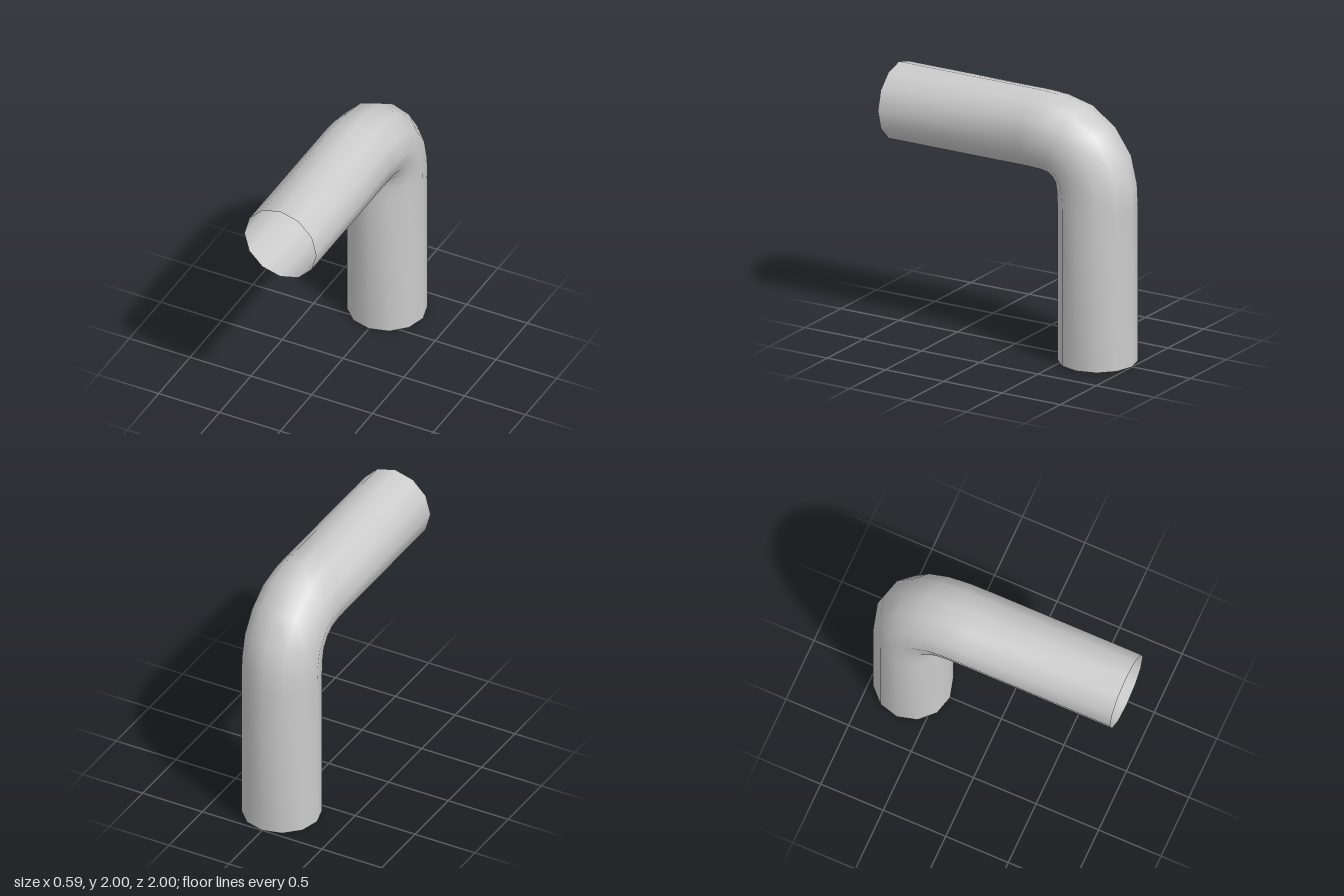
import * as THREE from 'three';

const RADIUS = 0.295;
const SIDES = 12;

export function createModel() {
  // First half of the pipe: centre z, centre y, tilt of the ring in degrees
  const half = [
    [1, 1.705, 0],
    [-0.2, 1.705, 0],
    [-0.335, 1.698, 5.8],
    [-0.47, 1.667, 23.5],
  ];
  // Second half mirrors the first across the diagonal of the elbow
  const mirrored = half.map(([z, y, tilt]) => [1 - y, 1 - z, 90 - tilt]).reverse();
  const rings = [...half, [-0.586, 1.586, 45], ...mirrored];

  // Sweep a twelve-sided ring along the path
  const positions = [];
  const indices = [];
  rings.forEach(([z, y, degrees], i) => {
    const tilt = THREE.MathUtils.degToRad(degrees);
    for (let k = 0; k < SIDES; k++) {
      const a = (k / SIDES) * Math.PI * 2;
      const out = RADIUS * Math.cos(a);
      positions.push(RADIUS * Math.sin(a), y + out * Math.cos(tilt), z - out * Math.sin(tilt));
      if (i === rings.length - 1) continue;
      const next = (k + 1) % SIDES;
      const p = i * SIDES + k, q = i * SIDES + next;
      indices.push(p, q, p + SIDES, q, q + SIDES, p + SIDES);
    }
  });

  const geometry = new THREE.BufferGeometry();
  geometry.setAttribute('position', new THREE.Float32BufferAttribute(positions, 3));
  geometry.setIndex(indices);
  geometry.computeVertexNormals();

  // Open-ended thin pipe, visible inside and out
  const pipe = new THREE.Mesh(
    geometry,
    new THREE.MeshStandardMaterial({ color: 0xcccccc, side: THREE.DoubleSide })
  );
  pipe.name = 'elbowPipe';

  const group = new THREE.Group();
  group.name = 'bentPipe';
  group.add(pipe);
  return group;
}
